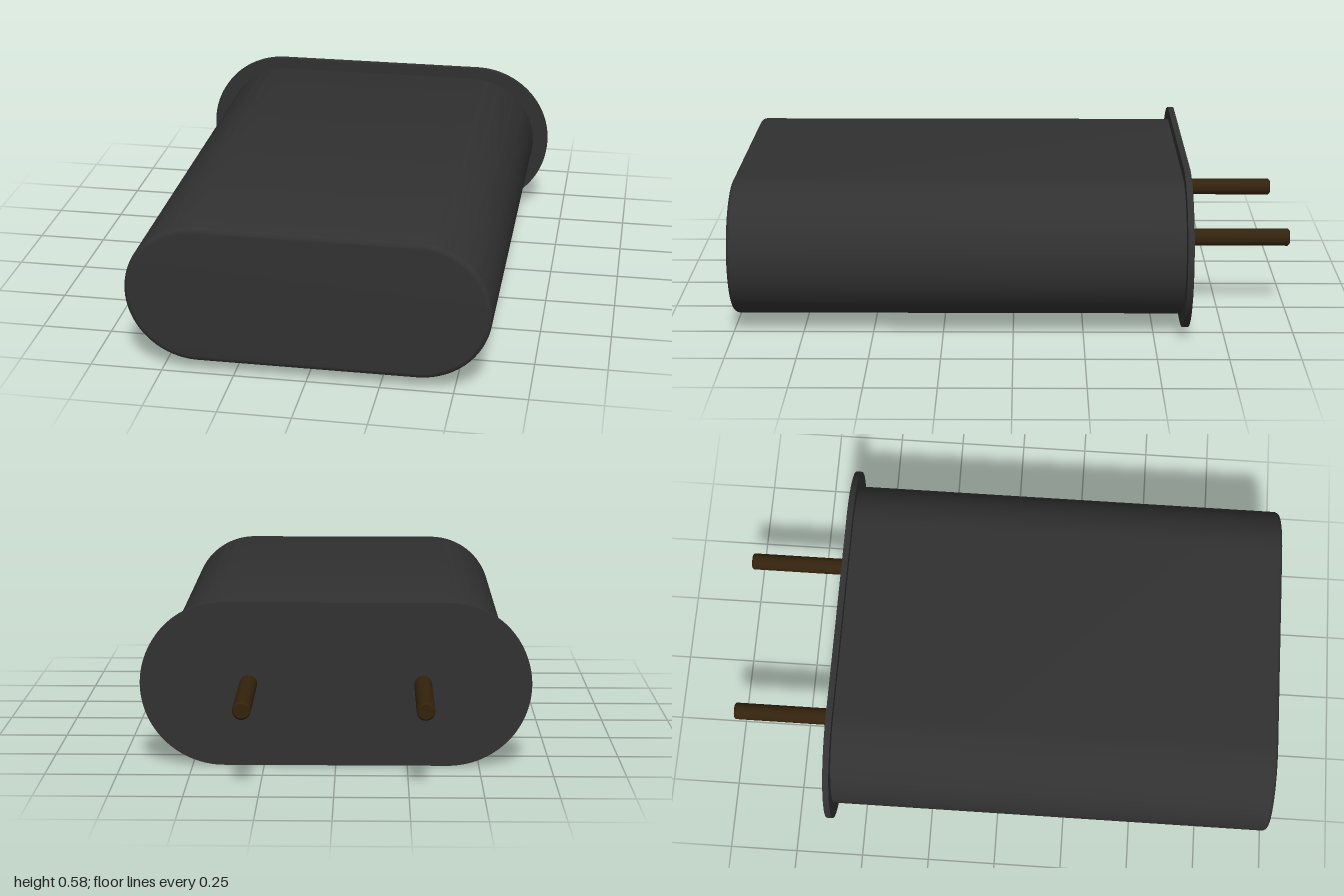
import * as THREE from 'three';
import { toCreasedNormals } from 'three/addons/utils/BufferGeometryUtils.js';

const MID_Y = 0.29;

// Pill outline: half width w, end radius r
function pill(w, r) {
  const s = new THREE.Shape();
  s.absarc(w - r, 0, r, -Math.PI / 2, Math.PI / 2, false);
  s.absarc(-(w - r), 0, r, Math.PI / 2, Math.PI * 1.5, false);
  s.closePath();
  return s;
}

// Pill extruded from z0 to z1, with its edges rounded by bevel
function pillBlock(name, w, r, z0, z1, bevel, material) {
  const geometry = new THREE.ExtrudeGeometry(pill(w, r), {
    depth: z1 - z0 - 2 * bevel,
    curveSegments: 32,
    bevelEnabled: bevel > 0,
    bevelThickness: bevel,
    bevelSize: bevel,
    bevelOffset: -bevel,
    bevelSegments: 5,
  });
  geometry.translate(0, MID_Y, z0 + bevel);
  const mesh = new THREE.Mesh(toCreasedNormals(geometry, 0.5), material);
  mesh.name = name;
  return mesh;
}

export function createModel() {
  const group = new THREE.Group();
  group.name = 'twoPinCan';

  const casing = new THREE.MeshStandardMaterial({ color: 0x313131 });
  casing.name = 'dark casing';
  const pinMetal = new THREE.MeshStandardMaterial({ color: 0x33220c });
  pinMetal.name = 'dark bronze';

  // Can, its rear edge sunk into the flange
  group.add(pillBlock('can', 0.622, 0.248, -0.62, 1, 0.02, casing));

  // Thin base flange
  group.add(pillBlock('flange', 0.68, 0.29, -0.625, -0.603, 0, casing));

  // Two round pins with softened tips
  const tip = 0.006, radius = 0.031, length = 0.385;
  const profile = [[0, 0], [radius, 0], [radius, length - tip], [radius - tip, length], [0, length]]
    .map(([x, y]) => new THREE.Vector2(x, y));
  const pinGeometry = toCreasedNormals(new THREE.LatheGeometry(profile, 24), 0.5);
  pinGeometry.rotateX(-Math.PI / 2);
  for (const side of [-1, 1]) {
    const pin = new THREE.Mesh(pinGeometry, pinMetal);
    pin.name = side > 0 ? 'leftPin' : 'rightPin';
    pin.position.set(side * 0.303, MID_Y + 0.003, -0.615);
    group.add(pin);
  }
  return group;
}
